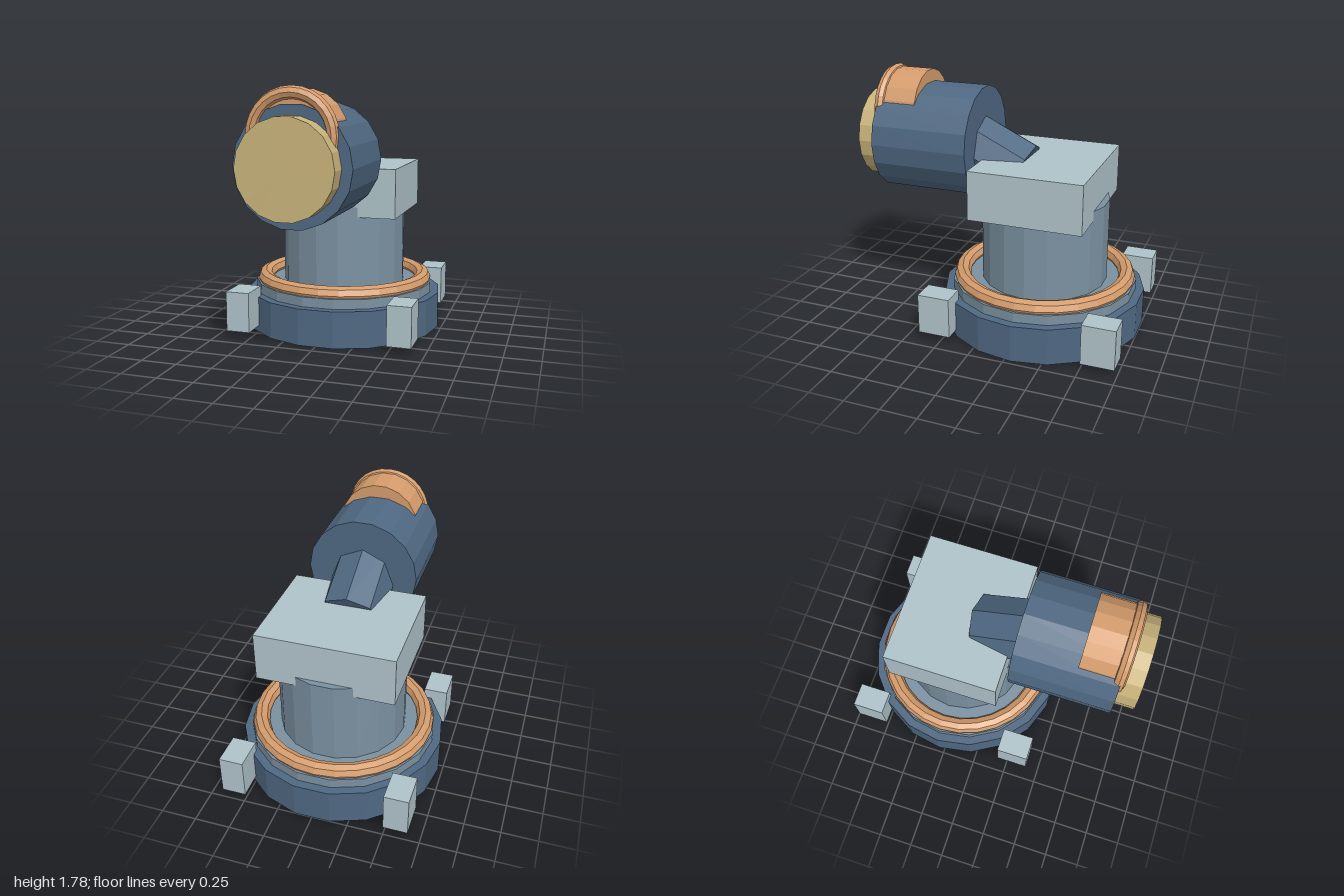
import * as THREE from 'three';

export function createModel() {
  const model = new THREE.Group();
  model.name = 'swivelLampTurret';

  const material = (name, color) => {
    const m = new THREE.MeshStandardMaterial({ color, flatShading: true });
    m.name = name;
    return m;
  };
  const navy = material('navy blue', 0x4f6882);
  const slate = material('slate blue', 0x7b91a1);
  const pale = material('pale grey', 0xafc3ca);
  const copper = material('copper', 0xd59c6c);
  const brass = material('brass', 0xc9b37b);

  const add = (name, geometry, mat, x, y, z) => {
    const mesh = new THREE.Mesh(geometry, mat);
    mesh.name = name;
    mesh.position.set(x, y, z);
    model.add(mesh);
    return mesh;
  };
  // 18-sided drum with corners pointing to the sides
  const drum = (r, h) =>
    new THREE.CylinderGeometry(r, r, h, 18, 1, false, Math.PI / 2);

  // Upright drums stacked on the turntable axis
  const axisZ = -0.29;
  const upright = (name, r, y0, y1, mat) =>
    add(name, drum(r, y1 - y0), mat, 0, (y0 + y1) / 2, axisZ);
  upright('base', 0.72, 0, 0.26, navy);
  upright('turntable', 0.66, 0.26, 0.33, slate);
  upright('column', 0.45, 0.33, 0.93, slate);

  // Ring half sunk into the turntable
  add('turntableRing', new THREE.TorusGeometry(0.592, 0.058, 8, 28).rotateX(Math.PI / 2),
    copper, 0, 0.348, axisZ);

  // Four clamps around the base
  for (const x of [-0.58, 0.58]) {
    for (const z of [-0.87, 0.29]) {
      add('baseClamp', new THREE.BoxGeometry(0.17, 0.285, 0.23), pale, x, 0.192, z);
    }
  }

  // Head block on the column
  add('headBlock', new THREE.BoxGeometry(0.955, 0.345, 0.795), pale, 0, 1.033, -0.292);

  // Sloping arm from the head block into the barrel
  const start = new THREE.Vector3(0, 1.077, -0.118);
  const direction = new THREE.Vector3(0, 0.432, 0.902).normalize();
  const armLength = 0.5;
  const arm = add('arm', new THREE.CylinderGeometry(0.225, 0.225, armLength, 8), navy, 0, 0, 0);
  arm.position.copy(start).addScaledVector(direction, armLength / 2);
  arm.quaternion.setFromUnitVectors(new THREE.Vector3(0, 1, 0), direction);

  // Drums lying along z: barrel, lens and hood
  const lying = (name, r, y, z0, z1, mat) =>
    add(name, drum(r, z1 - z0).rotateX(Math.PI / 2), mat, 0, y, (z0 + z1) / 2);
  lying('barrel', 0.39, 1.28, 0.16, 0.86, navy);
  lying('lens', 0.32, 1.28, 0.84, 1, brass);
  lying('hood', 0.28, 1.478, 0.58, 0.85, copper);

  // Rim at the front of the hood
  add('hoodRim', new THREE.TorusGeometry(0.263, 0.042, 8, 28), copper, 0, 1.473, 0.848);

  return model;
}
